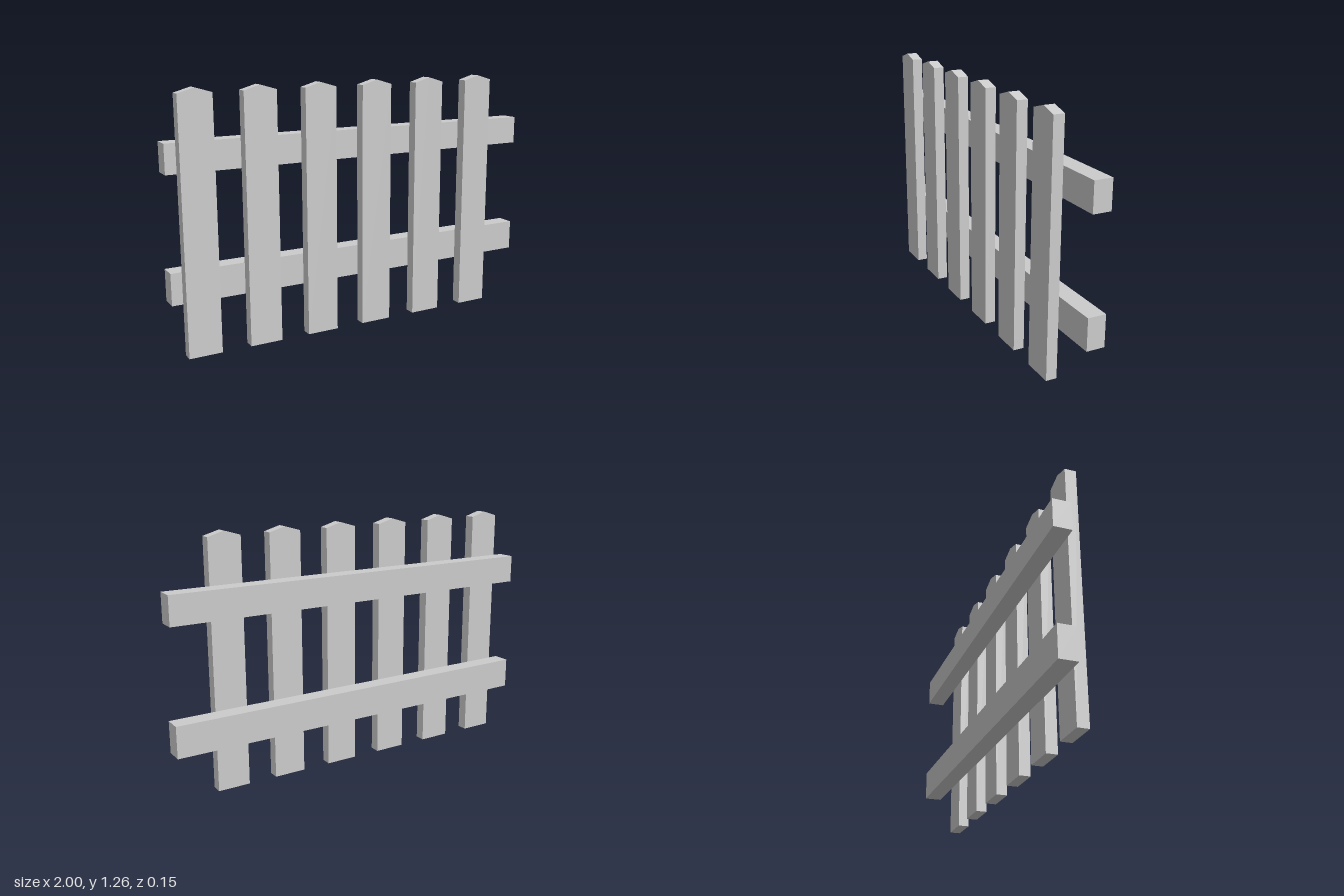
import * as THREE from 'three';

const material = new THREE.MeshStandardMaterial({ color: 0xcccccc, flatShading: true });

export function createModel() {
  const fence = new THREE.Group();
  fence.name = 'picketFence';

  // Pickets: flat boards with a shallow pointed top
  const halfWidth = 0.082, shoulder = 1.235, peak = 1.259;
  const outline = new THREE.Shape([
    new THREE.Vector2(-halfWidth, 0),
    new THREE.Vector2(halfWidth, 0),
    new THREE.Vector2(halfWidth, shoulder),
    new THREE.Vector2(0, peak),
    new THREE.Vector2(-halfWidth, shoulder),
  ]);
  const picketGeometry = new THREE.ExtrudeGeometry(outline, { depth: 0.055, bevelEnabled: false });
  for (let i = 0; i < 6; i++) {
    const picket = new THREE.Mesh(picketGeometry, material);
    picket.name = `picket${i + 1}`;
    picket.position.set(-0.865 + i * 0.3105, 0, 0.018);
    fence.add(picket);
  }

  // Horizontal rails behind the pickets
  const addRail = (name, bottom, top) => {
    const rail = new THREE.Mesh(new THREE.BoxGeometry(2, top - bottom, 0.09), material);
    rail.name = name;
    rail.position.set(0, (bottom + top) / 2, -0.028);
    fence.add(rail);
  };
  addRail('lowerRail', 0.253, 0.41);
  addRail('upperRail', 0.87, 1.013);

  return fence;
}
